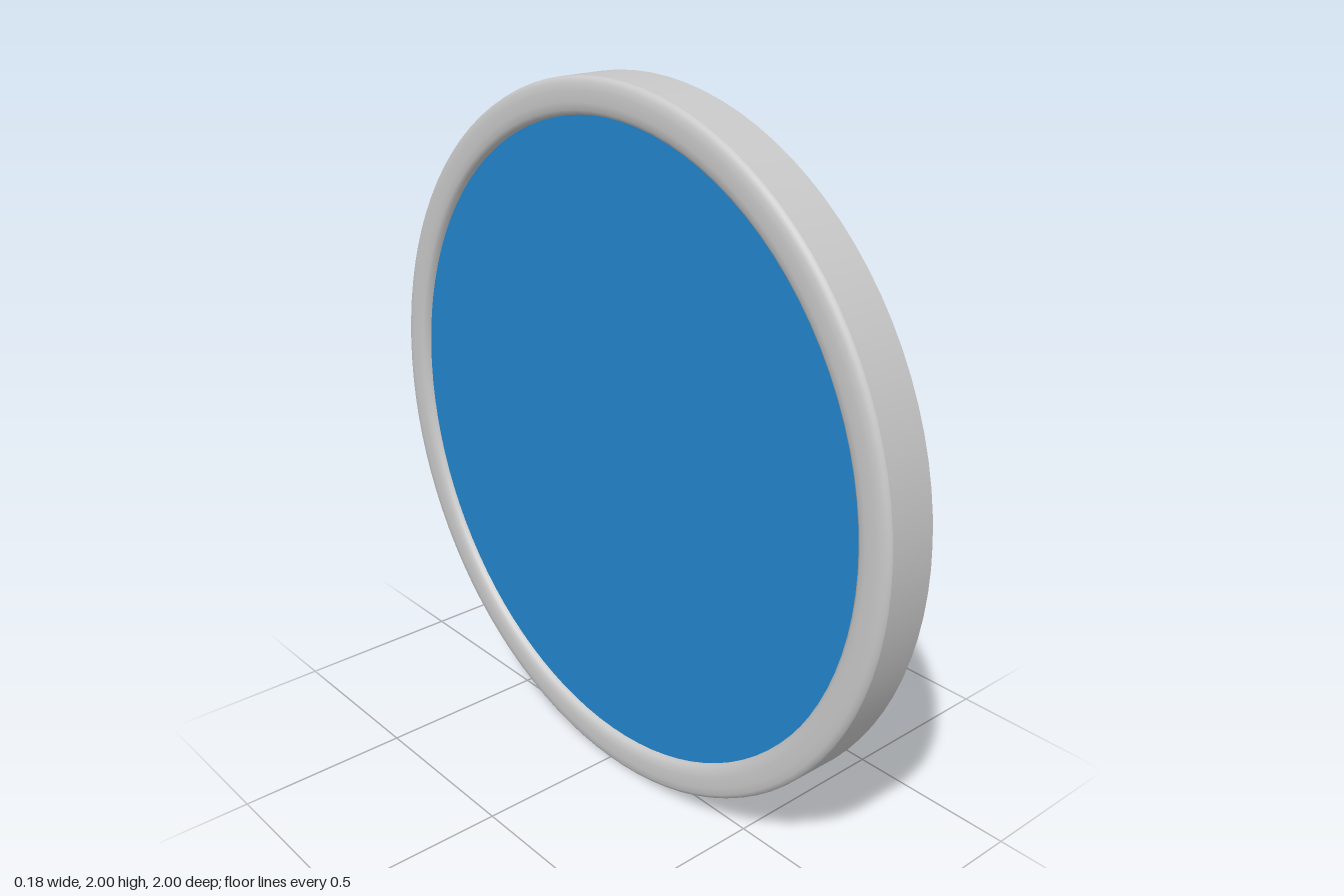
import * as THREE from 'three';

const SEGMENTS = 96;
const HALF = 0.0775; // half the disc thickness

export function createModel() {
  const grey = new THREE.MeshStandardMaterial({ color: 0xc8c8c8 });
  grey.name = 'light grey';
  const blue = new THREE.MeshStandardMaterial({ color: 0x2285cc });
  blue.name = 'blue';

  const disc = new THREE.Group();
  disc.name = 'disc';

  // Revolve a [radius, height] profile around the disc axis
  const addRing = (name, profile, material) => {
    const points = profile.map(([r, h]) => new THREE.Vector2(r, h));
    const mesh = new THREE.Mesh(new THREE.LatheGeometry(points, SEGMENTS), material);
    mesh.name = name;
    disc.add(mesh);
  };

  // Plain face: flat, with normals softening towards the edge
  addRing('plainFace', [[0, -HALF], [0.42, -HALF], [0.999, -HALF], [0.999, -HALF + 0.002]], grey);

  // Straight outer edge
  addRing('outerEdge', [[1, -HALF], [1, 0.06]], grey);

  // Rounded raised rim, running down to the recessed panel
  addRing('raisedRim', [
    [1, 0.058], [0.996, 0.068], [0.985, 0.075], [0.965, HALF], [0.935, HALF],
    [0.915, 0.074], [0.904, 0.066], [0.9, 0.05],
  ], grey);

  // Recessed blue panel
  addRing('bluePanel', [[0.905, 0.054], [0, 0.054]], blue);

  // Stand the disc upright, panel towards -x, with a very slight turn
  disc.rotation.z = Math.PI / 2;
  const model = new THREE.Group();
  model.name = 'badge';
  model.add(disc);
  model.position.y = 1;
  model.rotation.y = -0.0125;

  const root = new THREE.Group();
  root.name = 'model';
  root.add(model);
  return root;
}
